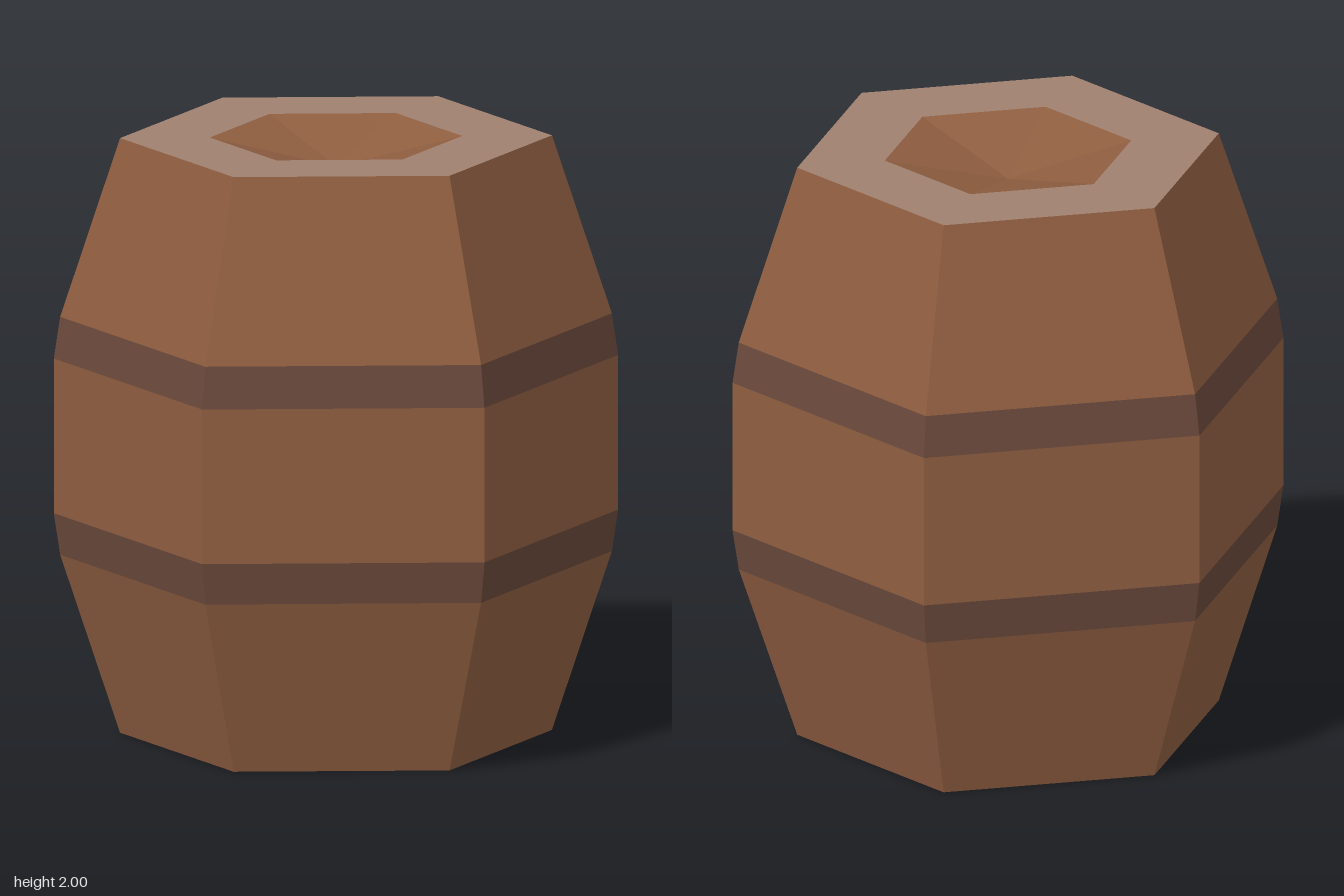
import * as THREE from 'three';

const flat = (name, color) => {
  const m = new THREE.MeshStandardMaterial({ color, flatShading: true });
  m.name = name;
  return m;
};

export function createModel() {
  const barrel = new THREE.Group();
  barrel.name = 'barrel';
  const wood = flat('wood brown', 0x8f5e40);
  const hoop = flat('hoop dark brown', 0x6b493c);
  const rim = flat('rim pale brown', 0xa08070);

  // six-sided ring turned from [radius, height] points, listed bottom to top on the outside
  const turn = (name, material, ...points) => {
    const profile = points.map(([r, y]) => new THREE.Vector2(r, y));
    const mesh = new THREE.Mesh(new THREE.LatheGeometry(profile, 6), material);
    mesh.name = name;
    barrel.add(mesh);
  };

  const end = 0.71, shoulder = 0.907, belly = 0.928, hollow = 0.415, depth = 0.1;

  // staves and the two flush hoops
  turn('lowerStaves', wood, [end, 0], [shoulder, 0.6]);
  turn('lowerHoop', hoop, [shoulder, 0.6], [belly, 0.74]);
  turn('middleStaves', wood, [belly, 0.74], [belly, 1.26]);
  turn('upperHoop', hoop, [belly, 1.26], [shoulder, 1.4]);
  turn('upperStaves', wood, [shoulder, 1.4], [end, 2]);

  // flat rims with a shallow pointed hollow in each end
  turn('topRim', rim, [end, 2], [hollow, 2]);
  turn('topHollow', wood, [hollow, 2], [0, 2 - depth]);
  turn('bottomRim', rim, [hollow, 0], [end, 0]);
  turn('bottomHollow', wood, [0, depth], [hollow, 0]);

  return barrel;
}
